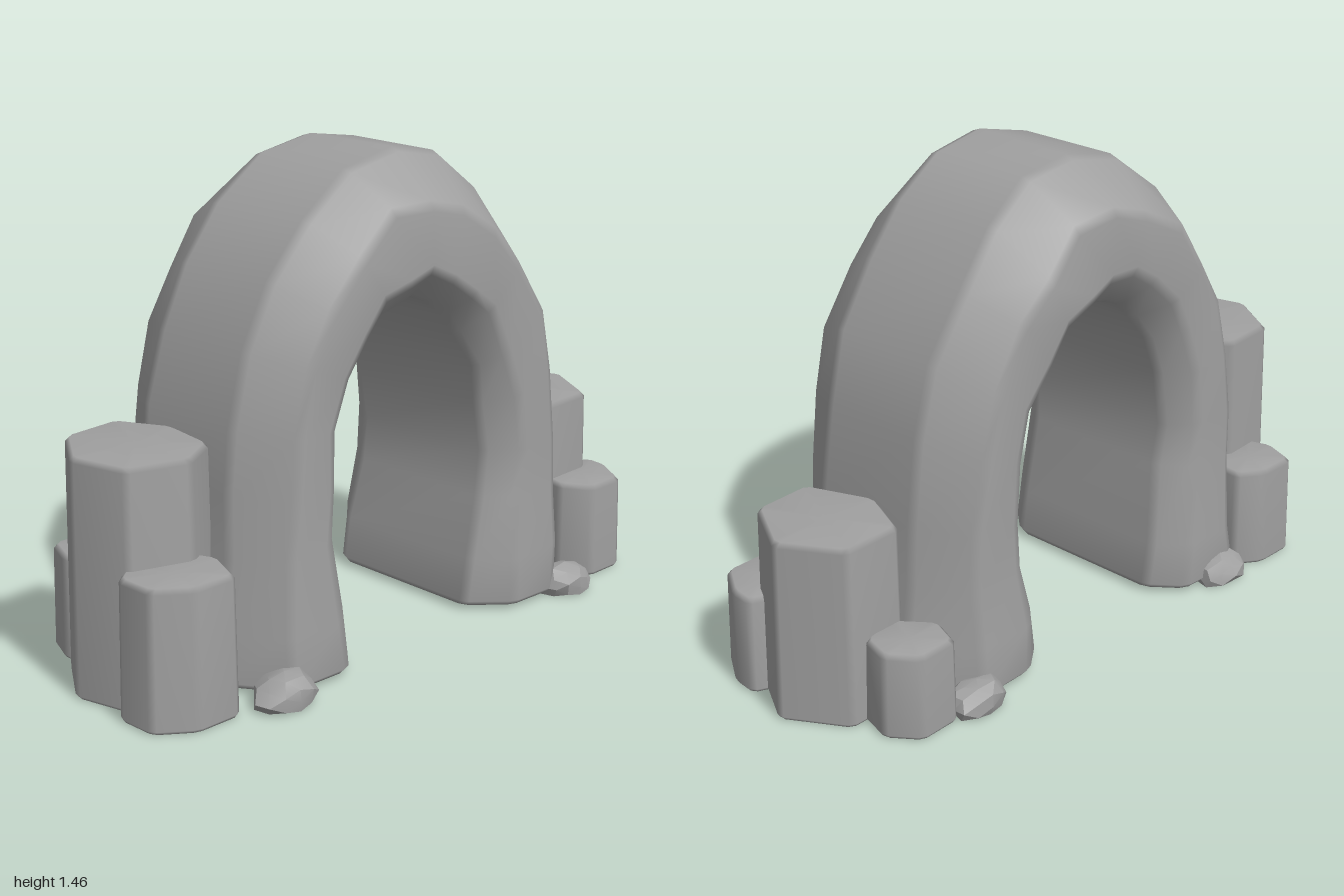
import * as THREE from 'three';
import { mergeVertices, toCreasedNormals } from 'three/addons/utils/BufferGeometryUtils.js';

// Small seeded noise in -1..1
function makeNoise(seed) {
  let s = seed;
  return () => {
    s = (s * 16807) % 2147483647;
    return (s / 2147483647) * 2 - 1;
  };
}

// Split every corner of a closed loop in two, giving a narrow bevel
function bevelLoop(loop, r) {
  const n = loop.length;
  return loop.flatMap((p, i) => [loop[(i + n - 1) % n], loop[(i + 1) % n]].map((q) =>
    p.clone().add(q.clone().sub(p).setLength(r))));
}

function centreOf(loop) {
  return loop.reduce((c, p) => c.add(p), new THREE.Vector3()).divideScalar(loop.length);
}

// Skin a row of equal loops and close both ends
function loft(rings) {
  const n = rings[0].length, last = rings.length - 1;
  const points = [...rings.flat(), centreOf(rings[0]), centreOf(rings[last])];
  const index = [];
  for (let k = 0; k < last; k++) {
    for (let i = 0; i < n; i++) {
      const j = (i + 1) % n, a = k * n, b = a + n;
      index.push(a + i, a + j, b + j, a + i, b + j, b + i);
    }
  }
  for (let i = 0; i < n; i++) {
    const j = (i + 1) % n;
    index.push(points.length - 2, j, i);
    index.push(points.length - 1, last * n + i, last * n + j);
  }
  // Turn all faces outwards
  let volume = 0;
  for (let t = 0; t < index.length; t += 3) {
    const [a, b, c] = [0, 1, 2].map((k) => points[index[t + k]]);
    volume += a.dot(b.clone().cross(c));
  }
  if (volume < 0) index.reverse();
  const geometry = new THREE.BufferGeometry().setFromPoints(points);
  geometry.setIndex(index);
  geometry.computeVertexNormals();
  return geometry;
}

// Arch: chamfered section carried along paired outer and inner edges
function archGeometry() {
  const noise = makeNoise(41);
  // outer x, outer y, inner x, inner y
  const stations = [
    [-0.69, 0.03, -0.265, 0.03], [-0.675, 0.17, -0.27, 0.17], [-0.645, 0.38, -0.31, 0.42],
    [-0.635, 0.56, -0.32, 0.56], [-0.62, 0.75, -0.295, 0.73], [-0.56, 0.96, -0.25, 0.85],
    [-0.475, 1.14, -0.19, 0.94], [-0.35, 1.3, -0.12, 0.995], [-0.18, 1.42, -0.06, 1.015],
    [0, 1.455, 0, 1.035],
    [0.17, 1.425, 0.07, 1.01], [0.31, 1.32, 0.14, 0.96], [0.43, 1.17, 0.2, 0.89],
    [0.54, 0.98, 0.27, 0.78], [0.6, 0.77, 0.29, 0.65], [0.63, 0.52, 0.31, 0.5],
    [0.645, 0.34, 0.295, 0.36], [0.675, 0.17, 0.25, 0.17], [0.69, 0.03, 0.24, 0.03],
  ];
  // depth from outer to inner edge, z
  const section = [
    [0, 0.175], [0.31, 0.335], [0.77, 0.335], [1, 0.24],
    [1, -0.28], [0.77, -0.375], [0.31, -0.375], [0, -0.2],
  ];
  const rings = stations.map(([ox, oy, ix, iy], k) => {
    const foot = k === 0 || k === stations.length - 1;
    const flare = oy < 0.2 ? 1.045 : 1;
    const loop = section.map(([u, z]) => {
      const d = u + (u > 0 && u < 1 ? noise() * 0.05 : 0);
      return new THREE.Vector3(
        ox + (ix - ox) * d,
        oy + (iy - oy) * d + (foot ? 0 : noise() * 0.006),
        z * flare + noise() * 0.009);
    });
    return bevelLoop(loop, 0.018);
  });
  // Slightly drawn-in soles
  const sole = (ring) => {
    const c = centreOf(ring);
    return ring.map((p) => p.clone().sub(c).multiplyScalar(0.96).add(c).setY(0.014));
  };
  return loft([sole(rings[0]), ...rings, sole(rings[rings.length - 1])]);
}

// Column: many-sided prism, slightly tapered, with bevelled rims
function columnGeometry(outline, height) {
  const base = bevelLoop(outline.map(([x, z]) => new THREE.Vector3(x, 0, z)), 0.014);
  const c = centreOf(base);
  const ring = (y, inset, taper) => base.map((p) => {
    const d = p.clone().sub(c);
    return d.setLength(d.length() * taper - inset).add(c).setY(y);
  });
  return loft([
    ring(0, 0.008, 1), ring(0.01, 0, 1),
    ring(height - 0.014, 0, 0.965), ring(height, 0.014, 0.965),
  ]);
}

// Stone: faceted lump, flat underneath
function stoneGeometry(rx, height, rz, seed) {
  const noise = makeNoise(seed);
  let geometry = new THREE.IcosahedronGeometry(1, 1);
  geometry.deleteAttribute('normal');
  geometry.deleteAttribute('uv');
  geometry = mergeVertices(geometry);
  const p = geometry.attributes.position;
  for (let i = 0; i < p.count; i++) {
    const s = 0.96 + noise() * 0.1;
    p.setXYZ(i, p.getX(i) * rx * s,
      Math.max(0, (p.getY(i) * s + 0.4) / 1.4 * height), p.getZ(i) * rz * s);
  }
  return toCreasedNormals(geometry, 0.45);
}

export function createModel() {
  const model = new THREE.Group();
  model.name = 'rockArch';
  const rock = new THREE.MeshStandardMaterial({ color: 0xa0a0a0 });
  rock.name = 'grey rock';
  const add = (name, geometry) => {
    const mesh = new THREE.Mesh(geometry, rock);
    mesh.name = name;
    model.add(mesh);
    return mesh;
  };

  add('arch', archGeometry());

  // Columns beside the feet: name, height, outline in x and z
  const columns = [
    ['leftTallColumn', 0.55, [[1, -0.04], [0.885, -0.225], [0.68, -0.215], [0.6, -0.03], [0.69, 0.185], [0.885, 0.17]]],
    ['leftFrontColumn', 0.3, [[0.965, 0.12], [0.96, 0.2], [0.885, 0.32], [0.745, 0.325], [0.685, 0.23], [0.72, 0.1], [0.87, 0.08]]],
    ['leftBackColumn', 0.26, [[0.65, -0.4], [0.79, -0.41], [0.86, -0.32], [0.83, -0.21], [0.7, -0.18], [0.61, -0.29]]],
    ['rightTallColumn', 0.705, [[-1, -0.06], [-0.885, -0.24], [-0.69, -0.26], [-0.6, -0.1], [-0.625, 0.1], [-0.76, 0.185], [-0.95, 0.13]]],
    ['rightFrontColumn', 0.415, [[-1, 0.14], [-0.995, 0.27], [-0.89, 0.345], [-0.74, 0.34], [-0.685, 0.2], [-0.74, 0.08], [-0.93, 0.08]]],
    ['rightBackColumn', 0.32, [[-0.86, -0.3], [-0.815, -0.415], [-0.675, -0.42], [-0.595, -0.365], [-0.61, -0.24], [-0.72, -0.18], [-0.83, -0.21]]],
  ];
  for (const [name, height, outline] of columns) add(name, columnGeometry(outline, height));

  // Loose stones at the corners: name, x, z, half width, height, half depth
  const stones = [
    ['leftFrontStone', 0.6, 0.335, 0.1, 0.09, 0.08],
    ['leftBackStone', 0.565, -0.385, 0.1, 0.1, 0.075],
    ['rightFrontStone', -0.6, 0.36, 0.105, 0.1, 0.085],
    ['rightBackStone', -0.51, -0.375, 0.1, 0.09, 0.075],
  ];
  stones.forEach(([name, x, z, rx, h, rz], i) => {
    add(name, stoneGeometry(rx, h, rz, 17 + i * 29)).position.set(x, 0, z);
  });
  return model;
}
